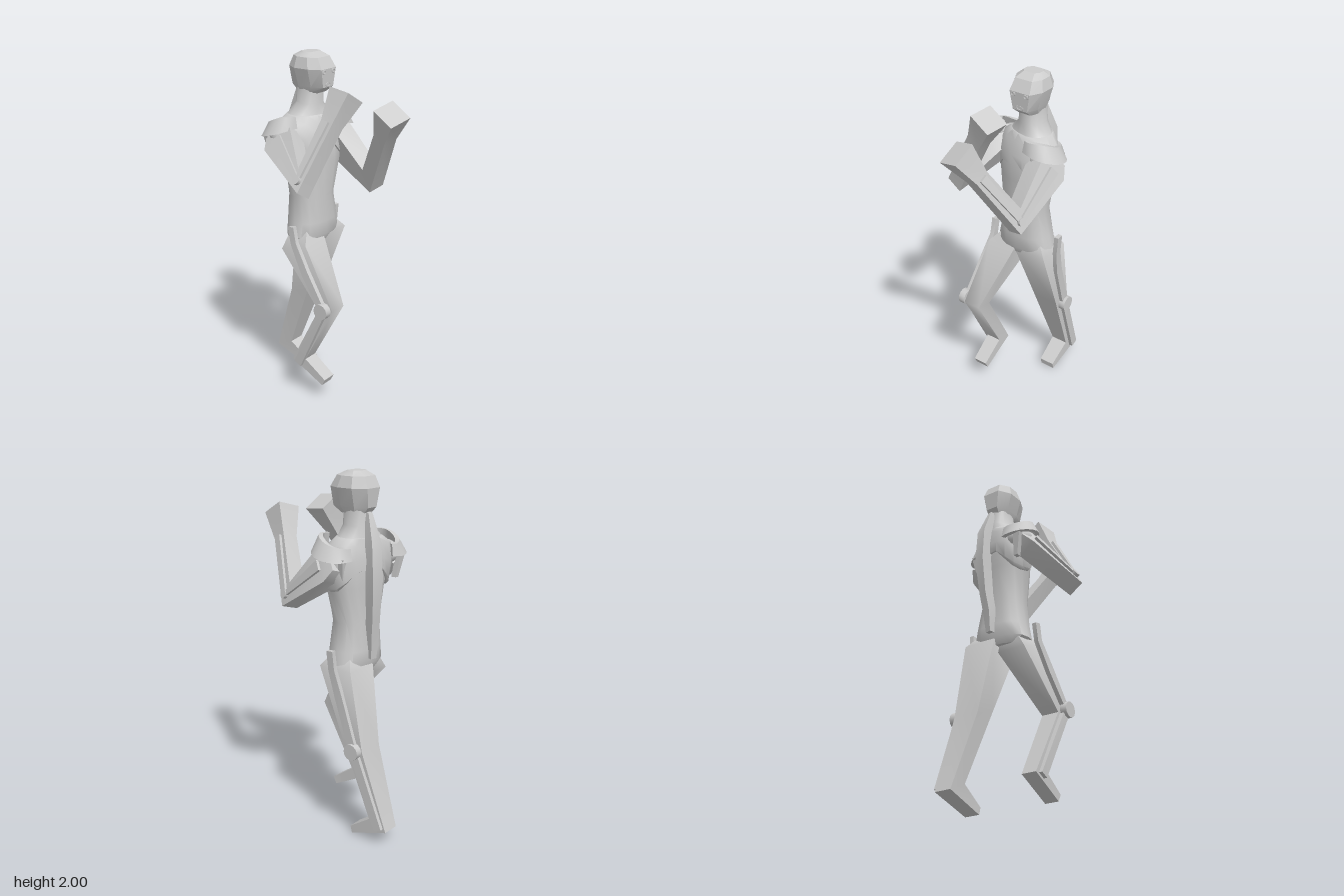
import * as THREE from 'three';
import { toCreasedNormals } from 'three/addons/utils/BufferGeometryUtils.js';

const material = new THREE.MeshStandardMaterial({ color: 0xcccccc });
const V = (x, y, z) => new THREE.Vector3(x, y, z);

function part(name, geometry) {
  const m = new THREE.Mesh(geometry, material);
  m.name = name;
  return m;
}

// Closed skin over a list of rings with equal point counts, capped at both ends
function loft(name, rings, crease = 0.45) {
  const n = rings[0].length, pos = [], idx = [];
  rings.forEach((r) => r.forEach((p) => pos.push(p.x, p.y, p.z)));
  for (let i = 0; i < rings.length - 1; i++)
    for (let j = 0; j < n; j++) {
      const a = i * n + j, b = i * n + ((j + 1) % n);
      idx.push(a, b, b + n, a, b + n, a + n);
    }
  [0, rings.length - 1].forEach((i) => {
    const c = V(0, 0, 0);
    rings[i].forEach((p) => c.addScaledVector(p, 1 / n));
    const k = pos.length / 3;
    pos.push(c.x, c.y, c.z);
    for (let j = 0; j < n; j++) {
      const a = i * n + j, b = i * n + ((j + 1) % n);
      if (i === 0) idx.push(k, b, a); else idx.push(k, a, b);
    }
  });
  // Turn the skin outward when its signed volume is negative
  const at = (i) => V(pos[i * 3], pos[i * 3 + 1], pos[i * 3 + 2]);
  let volume = 0;
  for (let i = 0; i < idx.length; i += 3) volume += at(idx[i]).dot(at(idx[i + 1]).cross(at(idx[i + 2])));
  if (volume < 0) idx.reverse();
  const g = new THREE.BufferGeometry();
  g.setAttribute('position', new THREE.Float32BufferAttribute(pos, 3));
  g.setIndex(idx);
  return part(name, toCreasedNormals(g, crease));
}

// Rectangle around c, w wide along u and d deep along v
function rect(c, u, v, w, d) {
  return [[1, 1], [-1, 1], [-1, -1], [1, -1]].map(([a, b]) =>
    c.clone().addScaledVector(u, a * w / 2).addScaledVector(v, b * d / 2));
}

// Rounded body ring; yaw twists it and drop lowers its flanks
function bodyRing([y, cx, cz, hw, hd, yaw = 0, drop = 0]) {
  return Array.from({ length: 16 }, (_, i) => {
    const t = i / 16 * Math.PI * 2, c = Math.cos(t), s = Math.sin(t);
    const x = Math.sign(c) * Math.abs(c) ** 0.8 * hw, z = Math.sign(s) * Math.abs(s) ** 0.8 * hd;
    const fall = drop * Math.max(0, Math.abs(c) - 0.35) * 1.5;
    return V(cx + x * Math.cos(yaw) - z * Math.sin(yaw), y - fall, cz + x * Math.sin(yaw) + z * Math.cos(yaw));
  });
}

// Angular eight-cornered head ring
function headRing([y, hw, z0, z1]) {
  const c = (z0 + z1) / 2, h = (z1 - z0) / 2;
  const half = [[0.65, 1], [1, 0.4], [1, -0.4], [0.55, -1]];
  return [...half, ...half.map(([x, z]) => [-x, z]).reverse()].map(([x, z]) => V(0.09 + x * hw, y, c + z * h));
}

// Leg section: x range, then front and back edges as z, y
const legRing = ([x0, x1, zf, yf, zb, yb]) => [V(x0, yf, zf), V(x1, yf, zf), V(x1, yb, zb), V(x0, yb, zb)];

function disc(name, c, axis, r, h) {
  const m = part(name, toCreasedNormals(new THREE.CylinderGeometry(r, r, h, 12), 0.6));
  m.position.copy(c);
  m.quaternion.setFromUnitVectors(V(0, 1, 0), axis);
  return m;
}

// Bent arm; s is 1 for the left and -1 for the right
function arm(name, s, shoulder, elbow, hand) {
  const g = new THREE.Group();
  g.name = name;
  const a = elbow.clone().sub(shoulder).normalize(), b = hand.clone().sub(elbow).normalize();
  const n = a.clone().cross(b).normalize();
  const va = n.clone().cross(a), vb = n.clone().cross(b), ve = va.clone().add(vb).normalize();
  const wrist = elbow.clone().lerp(hand, 0.66);
  g.add(loft('armAndFist', [
    rect(shoulder.clone().addScaledVector(a, -0.07), n, va, 0.08, 0.13),
    rect(shoulder, n, va, 0.115, 0.195),
    rect(elbow, n, ve, 0.1, 0.14),
    rect(wrist, n, vb, 0.09, 0.085),
    rect(hand, n, vb, 0.135, 0.14),
  ], 1));
  // Rods on the outer face, hinged at the elbow
  const out = n.clone().multiplyScalar(-s);
  const off = (p, k) => p.clone().addScaledVector(out, k);
  const joint = off(elbow, 0.055);
  g.add(disc('elbowHinge', joint, out, 0.024, 0.03));
  g.add(loft('upperArmRod', [
    rect(off(shoulder, 0.062), n, va, 0.022, 0.06), rect(joint, n, va, 0.018, 0.028)]));
  g.add(loft('forearmRod', [
    rect(joint, n, vb, 0.018, 0.028), rect(off(wrist, 0.05), n, vb, 0.022, 0.045)]));
  return g;
}

// Curved shoulder guard, with a tab hanging behind the shoulder
function shoulderGuard(name, s, c, rx, rz) {
  const g = new THREE.Group();
  g.name = name;
  const rings = [];
  for (let i = 0; i <= 12; i++) {
    const t = -1.8 + 3.6 * i / 12, side = Math.max(0, Math.cos(t));
    const dir = V(s * Math.cos(t), 0, Math.sin(t)).applyAxisAngle(V(0, 1, 0), -0.3);
    const p = c.clone().addScaledVector(dir, Math.hypot(rx * Math.cos(t), rz * Math.sin(t)) - 0.012 * side);
    p.y += 0.03 * Math.sin(t) - 0.005 * side;
    const up = V(0, 1, 0).addScaledVector(dir, -0.2 - 0.4 * side).normalize();
    rings.push(rect(p, dir, up, 0.024, 0.065 + 0.03 * side));
  }
  g.add(loft('band', rings, 0.7));
  const back = c.clone().add(V(s * rx * 0.45, -0.05, -rz * 0.85));
  g.add(loft('rearTab', [0, 1, 2].map((i) =>
    rect(back.clone().add(V(-s * 0.01 * i, -0.07 * i, 0.012 * i)), V(1, 0, 0), V(0, 0, 1), 0.045 - 0.01 * i, 0.03))));
  const cap = part('deltoid', new THREE.SphereGeometry(1, 14, 10));
  cap.scale.set(rx * 0.82, 0.07, rz * 0.82);
  cap.position.copy(c).add(V(0, -0.055, 0));
  g.add(cap);
  return g;
}

function leg(name, sections, brace, s) {
  const g = new THREE.Group();
  g.name = name;
  g.add(loft('legAndFoot', sections.map(legRing), 1.1));
  const pts = brace.map((p) => V(...p));
  g.add(loft('brace', pts.map((p, i) => {
    const d = pts[Math.min(i + 1, pts.length - 1)].clone().sub(pts[Math.max(i - 1, 0)]).normalize();
    const v = d.clone().cross(V(1, 0, 0)).normalize();
    return rect(p, V(1, 0, 0), v, 0.026, i < 2 ? 0.04 : 0.05);
  })));
  g.add(disc('kneeHinge', pts[3].clone().add(V(s * 0.01, 0, 0)), V(1, 0, 0), 0.046, 0.04));
  return g;
}

export function createModel() {
  const model = new THREE.Group();
  model.name = 'fightingFigure';

  model.add(loft('torso', [
    [0.93, 0.075, -0.15, 0.13, 0.09],
    [0.97, 0.078, -0.15, 0.172, 0.108],
    [1.05, 0.078, -0.15, 0.156, 0.11, 0.03],
    [1.2, 0.07, -0.15, 0.132, 0.103, 0.1],
    [1.4, 0.078, -0.15, 0.165, 0.118, 0.25],
    [1.52, 0.075, -0.16, 0.19, 0.12, 0.33],
    [1.61, 0.075, -0.17, 0.185, 0.1, 0.33],
    [1.66, 0.08, -0.175, 0.12, 0.09, 0.3],
    [1.72, 0.088, -0.172, 0.068, 0.078, 0.2],
    [1.82, 0.09, -0.17, 0.06, 0.075],
  ].map(bodyRing), 0.8));

  // Raised chest armour with a notched lower edge
  model.add(loft('chestPlate', [
    [1.49, 0.077, -0.157, 0.168, 0.112, 0.28, 0.12],
    [1.495, 0.077, -0.157, 0.18, 0.128, 0.28, 0.11],
    [1.55, 0.075, -0.162, 0.195, 0.125, 0.33, 0.04],
    [1.62, 0.075, -0.17, 0.18, 0.106, 0.33],
    [1.66, 0.08, -0.175, 0.124, 0.094, 0.3],
    [1.665, 0.08, -0.175, 0.1, 0.08, 0.3],
  ].map(bodyRing), 0.8));

  // Backbone ridge: height, x, z, width, depth
  model.add(loft('backRidge', [
    [1.79, 0.1, -0.25, 0.025, 0.03], [1.64, 0.115, -0.293, 0.06, 0.055], [1.45, 0.115, -0.302, 0.065, 0.06],
    [1.24, 0.1, -0.285, 0.05, 0.055], [1.12, 0.085, -0.27, 0.05, 0.05], [1.0, 0.08, -0.262, 0.035, 0.04],
  ].map(([y, x, z, w, d]) => rect(V(x, y, z), V(1, 0, 0.25), V(-0.25, 0, 1), w, d))));

  // Head with simple facial features
  const head = new THREE.Group();
  head.name = 'head';
  head.add(loft('skull', [
    [1.78, 0.055, -0.235, -0.09], [1.815, 0.068, -0.265, -0.045], [1.915, 0.096, -0.275, -0.04],
    [1.975, 0.08, -0.25, -0.075], [2, 0.05, -0.205, -0.125],
  ].map(headRing), 0.4));
  [-1, 1].forEach((s) => {
    const eye = part('eye', new THREE.TorusGeometry(0.012, 0.005, 4, 8));
    eye.position.set(0.09 + s * 0.04, 1.9, -0.04);
    eye.scale.y = 0.8;
    head.add(eye);
  });
  const mouth = part('mouth', new THREE.TorusGeometry(0.014, 0.005, 4, 8));
  mouth.position.set(0.09, 1.83, -0.045);
  mouth.scale.set(1.4, 0.7, 1);
  head.add(mouth);
  model.add(head);

  model.add(shoulderGuard('leftShoulderGuard', 1, V(0.2, 1.61, -0.11), 0.105, 0.105));
  model.add(shoulderGuard('rightShoulderGuard', -1, V(-0.08, 1.61, -0.225), 0.1, 0.09));
  model.add(arm('leftArm', 1, V(0.235, 1.505, -0.09), V(0.222, 1.31, 0.17), V(0.037, 1.74, 0.41)));
  model.add(arm('rightArm', -1, V(-0.12, 1.525, -0.19), V(-0.237, 1.365, 0.045), V(0.023, 1.808, 0.128)));

  model.add(leg('leftLeg', [
    [0.12, 0.19, -0.1, 1.04, -0.2, 1.04],
    [0.06, 0.26, -0.05, 0.96, -0.258, 0.96],
    [0.1, 0.255, -0.21, 0.55, -0.335, 0.52],
    [0.137, 0.237, -0.375, 0.13, -0.485, 0.08],
    [0.14, 0.23, -0.24, 0.04, -0.25, 0],
  ], [[0.29, 1.07, -0.15], [0.28, 0.96, -0.155], [0.268, 0.82, -0.19], [0.263, 0.52, -0.285], [0.245, 0.09, -0.445]], 1));
  model.add(leg('rightLeg', [
    [-0.03, 0.05, -0.1, 1.04, -0.2, 1.02],
    [-0.115, 0.06, -0.045, 0.945, -0.22, 0.89],
    [-0.14, -0.035, 0.165, 0.61, 0.065, 0.59],
    [-0.13, -0.04, -0.04, 0.235, -0.135, 0.21],
    [-0.125, -0.04, 0.1, 0.14, 0.08, 0.1],
  ], [[-0.13, 1.05, -0.13], [-0.13, 0.95, -0.11], [-0.145, 0.8, -0.02], [-0.158, 0.61, 0.115], [-0.137, 0.2, -0.085]], -1));
  return model;
}
